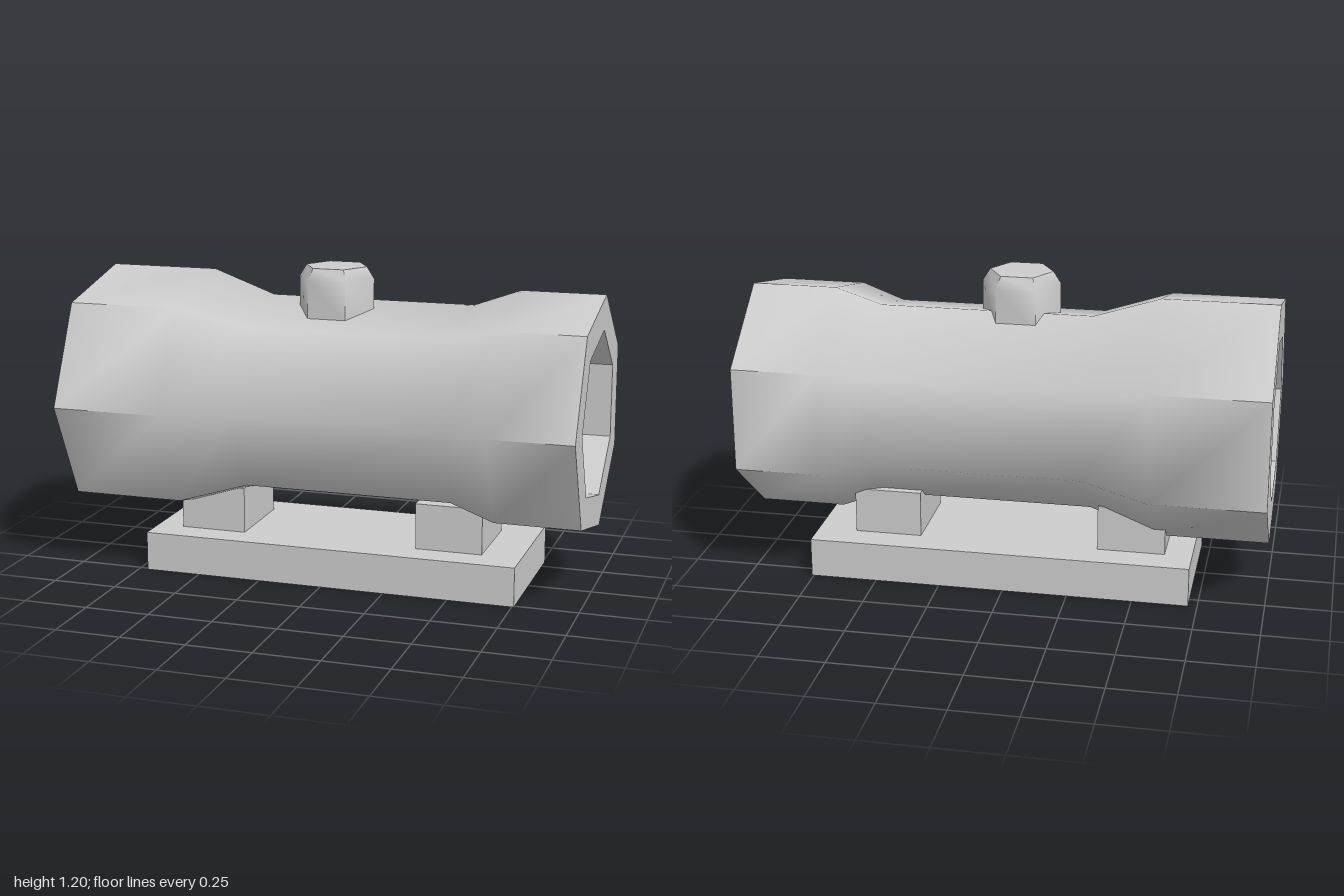
import * as THREE from 'three';

const Z = -0.023; // shared centre line of tube, feet and base

// Prism skin along x following a profile of [x, radius, smooth] stations.
// Smooth stations blend round the axis; the others keep flat facets.
function loft(sides, phase, profile, closed) {
  const pos = [], nor = [];
  const count = closed ? profile.length : profile.length - 1;
  const at = (i) => profile[(i + profile.length) % profile.length];
  const c = Math.cos(Math.PI / sides);
  const slope = (i) => {
    const a = at(i), b = at(i + 1);
    return new THREE.Vector2(-(b[1] - a[1]) * c, b[0] - a[0]).normalize();
  };
  for (let i = 0; i < count; i++) {
    for (let k = 0; k < sides; k++) {
      const a0 = phase + (k / sides) * Math.PI * 2;
      const a1 = phase + ((k + 1) / sides) * Math.PI * 2;
      const put = (j, a) => {
        const [x, r, smooth] = at(j);
        const n = slope(i);
        let dir = (a0 + a1) / 2;
        if (smooth) {
          n.copy(slope(j - 1)).add(slope(j)).normalize();
          dir = a;
        }
        pos.push(x, r * Math.sin(a), r * Math.cos(a));
        nor.push(n.x, n.y * Math.sin(dir), n.y * Math.cos(dir));
      };
      put(i, a0); put(i + 1, a0); put(i + 1, a1);
      put(i, a0); put(i + 1, a1); put(i, a1);
    }
  }
  const geo = new THREE.BufferGeometry();
  geo.setAttribute('position', new THREE.Float32BufferAttribute(pos, 3));
  geo.setAttribute('normal', new THREE.Float32BufferAttribute(nor, 3));
  return geo;
}

export function createModel() {
  const model = new THREE.Group();
  const grey = new THREE.MeshStandardMaterial({ color: 0xcccccc });
  grey.name = 'light grey';

  const add = (name, geo, x, y, z) => {
    const mesh = new THREE.Mesh(geo, grey);
    mesh.name = name;
    mesh.position.set(x, y, z);
    model.add(mesh);
    return mesh;
  };

  // Seven-sided tube: outer skin, end rims and bore in one closed profile
  add('tube', loft(7, 0, [
    [-1, 0.483, false],
    [-0.565, 0.483, true],
    [-0.31, 0.394, true],
    [0.5, 0.394, true],
    [0.675, 0.458, true],
    [1, 0.458, false],
    [1, 0.327, false],
    [-1, 0.327, false],
  ], true), 0, 0.676, Z);

  // Chamfered hexagonal cap on top
  const cap = add('topCap', loft(6, Math.PI / 6, [
    [1.0, 0.15, false],
    [1.155, 0.15, true],
    [1.2, 0.121, false],
    [1.2, 0, false],
  ], false), -0.024, 0, -0.025);
  cap.rotation.z = Math.PI / 2;

  // Two feet on a base plate
  for (const [name, x] of [['rightFoot', -0.48], ['leftFoot', 0.475]]) {
    add(name, new THREE.BoxGeometry(0.26, 0.19, 0.335), x, 0.235, Z);
  }
  add('basePlate', new THREE.BoxGeometry(1.473, 0.152, 0.571), 0.021, 0.076, Z);

  return model;
}
